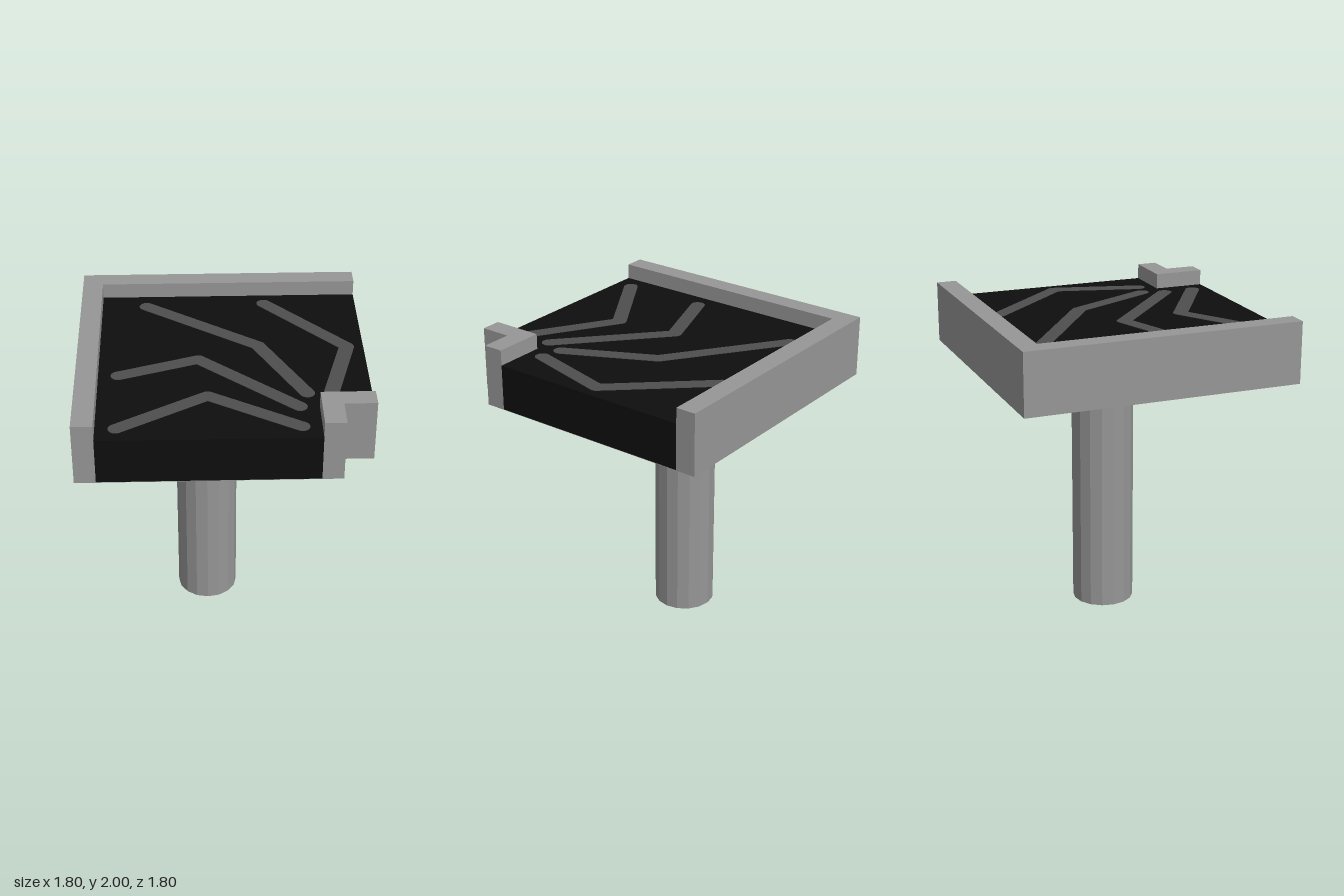
import * as THREE from 'three';

const grey = new THREE.MeshStandardMaterial({ color: 0x969696, flatShading: true });
grey.name = 'grey casing';
const black = new THREE.MeshStandardMaterial({ color: 0x0e0e0e });
black.name = 'black deck';
const darkGrey = new THREE.MeshStandardMaterial({ color: 0x4e4e4e });
darkGrey.name = 'dark grey stripe';

const LOW = 1.6, DECK = 1.9, TOP = 2, SKIN = 0.003;

// Extrudes a plan outline of [x, z] points from y0 up to y1
function slab(name, outline, y0, y1, material) {
  const shape = new THREE.Shape(outline.map(([x, z]) => new THREE.Vector2(x, -z)));
  const geometry = new THREE.ExtrudeGeometry(shape, { depth: y1 - y0, bevelEnabled: false });
  geometry.rotateX(-Math.PI / 2).translate(0, y0, 0);
  const mesh = new THREE.Mesh(geometry, material);
  mesh.name = name;
  return mesh;
}

// Round-ended stripe through three [x, z] points, rounded on the outside of its bend
function stripe(points, r = 0.047) {
  const [p, q, s] = points.map(([x, z]) => new THREE.Vector2(x, -z));
  const a = q.clone().sub(p), b = s.clone().sub(q);
  const a1 = Math.atan2(a.y, a.x), a2 = Math.atan2(b.y, b.x), h = Math.PI / 2;
  const inner = (a1 + a2) / 2 - h, reach = r / Math.cos((a1 - a2) / 2);
  const shape = new THREE.Shape();
  shape.absarc(p.x, p.y, r, a1 - h, a1 + h, true);
  shape.absarc(q.x, q.y, r, a1 + h, a2 + h, true);
  shape.absarc(s.x, s.y, r, a2 + h, a2 - h, true);
  shape.lineTo(q.x + reach * Math.cos(inner), q.y + reach * Math.sin(inner));
  const geometry = new THREE.ExtrudeGeometry(shape, { depth: SKIN, bevelEnabled: false });
  geometry.rotateX(-Math.PI / 2).translate(0, DECK, 0);
  return new THREE.Mesh(geometry, darkGrey);
}

export function createModel() {
  const model = new THREE.Group();
  model.name = 'tile on post';

  // Post
  const post = new THREE.Mesh(new THREE.CylinderGeometry(0.2, 0.2, LOW, 16), grey);
  post.position.set(-0.1, LOW / 2, -0.1);
  post.name = 'post';
  model.add(post);

  // Deck with a thin grey underside
  const deck = [[-0.77, -0.77], [0.9, -0.77], [0.9, 0.57], [0.57, 0.57], [0.57, 0.9], [-0.77, 0.9]];
  model.add(slab('underside', deck, LOW, LOW + SKIN, grey));
  model.add(slab('deck', deck, LOW + SKIN, DECK, black));

  // Rim along the back and one side, and the small corner at the front
  model.add(slab('rim', [[-0.9, -0.9], [0.9, -0.9], [0.9, -0.77], [-0.77, -0.77], [-0.77, 0.9], [-0.9, 0.9]], LOW, TOP, grey));
  model.add(slab('cornerRim', [[0.57, 0.57], [0.9, 0.57], [0.9, 0.7], [0.7, 0.7], [0.7, 0.9], [0.57, 0.9]], LOW, TOP, grey));

  // Bent stripes on the deck
  const paths = [
    [[-0.48, -0.64], [0.23, -0.13], [0.505, 0.43]],
    [[0.295, -0.66], [0.795, -0.1], [0.645, 0.46]],
    [[-0.645, 0.205], [-0.15, 0.03], [0.45, 0.575]],
    [[-0.645, 0.78], [-0.1, 0.445], [0.45, 0.785]],
  ];
  const stripes = new THREE.Group();
  stripes.name = 'stripes';
  paths.forEach((path, i) => {
    const mesh = stripe(path);
    mesh.name = `stripe${i + 1}`;
    stripes.add(mesh);
  });
  model.add(stripes);

  return model;
}
